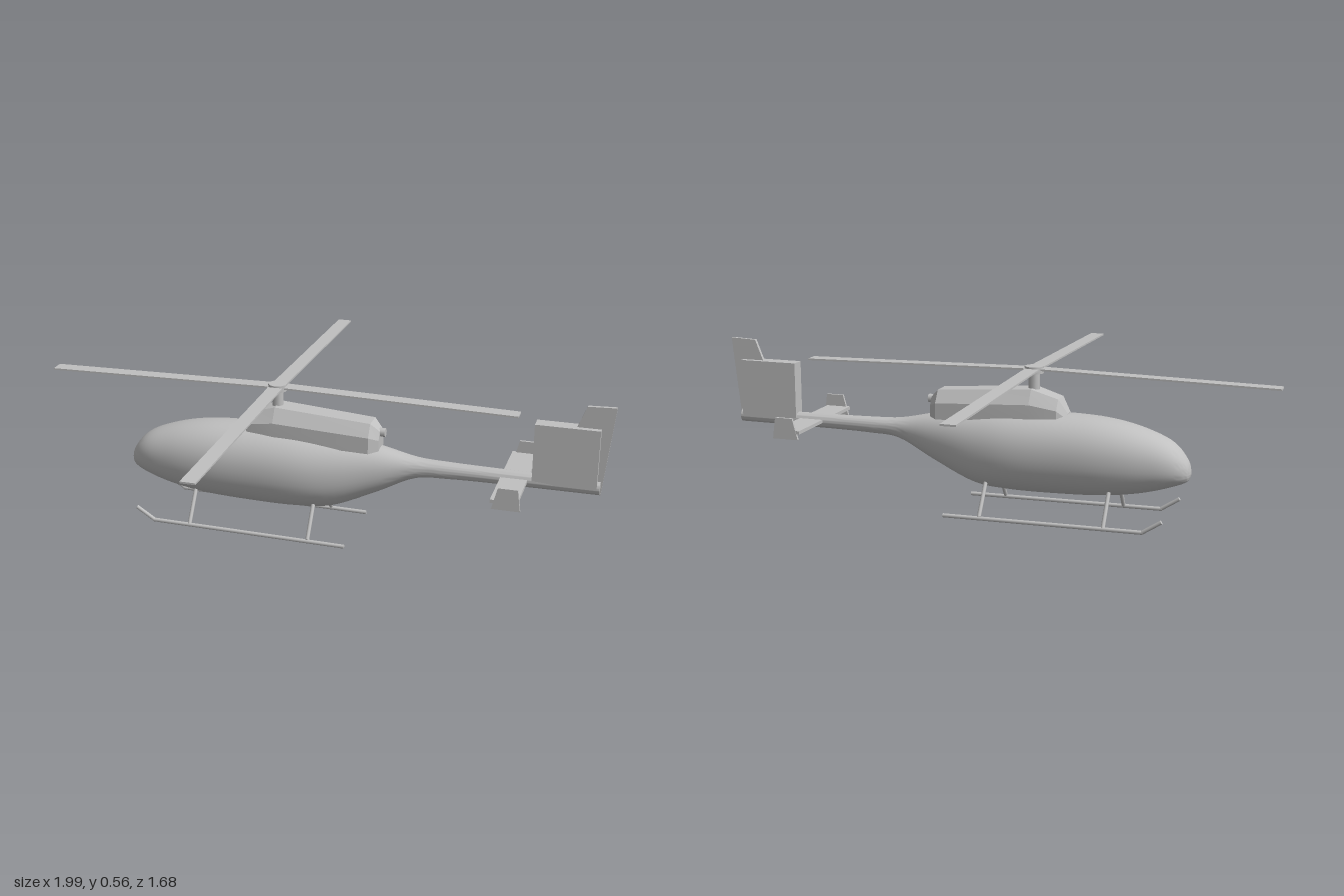
import * as THREE from 'three';
import { toCreasedNormals } from 'three/addons/utils/BufferGeometryUtils.js';

const grey = new THREE.MeshStandardMaterial({ color: 0xc0c0c0 });
grey.name = 'light grey';

// Skin a ring of unit [z, y] points through stations [x, bottom, top, halfWidth].
function loft(stations, ring, crease) {
  const n = ring.length, pos = [], idx = [];
  const s0 = stations[0], s1 = stations[stations.length - 1];
  const tip = (s) => [s[0], (s[1] + s[2]) / 2, (s[1] + s[2]) / 2, 0];
  const rows = [tip(s0), ...stations, tip(s1)];
  for (const [x, b, t, w] of rows)
    for (const [z, y] of ring) pos.push(x, (b + t) / 2 + y * (t - b) / 2, z * w);
  for (let i = 0; i < rows.length - 1; i++)
    for (let j = 0; j < n; j++) {
      const a = i * n + j, b = i * n + (j + 1) % n, c = a + n, d = b + n;
      if (i > 0) idx.push(a, c, b);
      else idx.push(a, c, d);
      if (i > 0 && i < rows.length - 2) idx.push(b, c, d);
    }
  const g = new THREE.BufferGeometry();
  g.setAttribute('position', new THREE.Float32BufferAttribute(pos, 3));
  g.setIndex(idx);
  return toCreasedNormals(g, crease);
}

// Smooth stations with splines through (x, bottom, top) and (x, width).
function smoothStations(st, count) {
  const a = new THREE.CatmullRomCurve3(st.map((s) => new THREE.Vector3(s[0], s[1], s[2])));
  const b = new THREE.CatmullRomCurve3(st.map((s) => new THREE.Vector3(s[0], s[3], 0)));
  return Array.from({ length: count + 1 }, (_, i) => {
    const p = a.getPoint(i / count), q = b.getPoint(i / count);
    return [p.x, p.y, p.z, q.y];
  });
}

// Flat plate cut from an outline in the x-y plane, centred on z.
function plate(points, thickness) {
  const shape = new THREE.Shape(points.map(([x, y]) => new THREE.Vector2(x, y)));
  return new THREE.ExtrudeGeometry(shape, { depth: thickness, bevelEnabled: false })
    .translate(0, 0, -thickness / 2);
}

export function createModel() {
  const model = new THREE.Group();
  model.name = 'helicopter';
  const add = (name, geometry, parent = model) => {
    const m = new THREE.Mesh(geometry, grey);
    m.name = name;
    parent.add(m);
    return m;
  };
  const rod = (name, from, to, r, parent) => {
    const a = new THREE.Vector3(...from), b = new THREE.Vector3(...to);
    const m = add(name, new THREE.CylinderGeometry(r, r, a.distanceTo(b), 10), parent);
    m.position.copy(a).add(b).multiplyScalar(0.5);
    m.quaternion.setFromUnitVectors(new THREE.Vector3(0, 1, 0), b.sub(a).normalize());
    return m;
  };

  // Fuselage and tail boom in one smooth skin
  const oval = Array.from({ length: 40 }, (_, i) => {
    const a = (i / 40) * Math.PI * 2, c = Math.cos(a), s = Math.sin(a);
    return [Math.sign(c) * Math.abs(c) ** 0.92, Math.sign(s) * Math.abs(s) ** 0.92];
  });
  add('fuselage', loft(smoothStations([
    [-0.71, 0.185, 0.2, 0.008], [-0.7, 0.165, 0.232, 0.034], [-0.65, 0.143, 0.29, 0.075],
    [-0.55, 0.115, 0.333, 0.107], [-0.42, 0.096, 0.36, 0.127], [-0.25, 0.088, 0.368, 0.132],
    [-0.08, 0.088, 0.365, 0.129], [0.04, 0.1, 0.355, 0.111], [0.2, 0.168, 0.335, 0.071],
    [0.34, 0.236, 0.307, 0.037], [0.45, 0.245, 0.302, 0.03], [0.7, 0.249, 0.299, 0.026],
    [0.96, 0.25, 0.298, 0.024],
  ], 60), oval, 0.7));

  // Faceted engine cowling with exhaust
  const hood = [[1, -1], [1, 0.15], [0.55, 1], [-0.55, 1], [-1, 0.15], [-1, -1]];
  add('engineCowling', loft([
    [-0.285, 0.33, 0.37, 0.03], [-0.255, 0.335, 0.42, 0.058], [-0.16, 0.335, 0.449, 0.068],
    [0.18, 0.325, 0.425, 0.062], [0.21, 0.328, 0.395, 0.034],
  ], hood, 0.2));
  rod('exhaust', [0.17, 0.386, 0], [0.226, 0.386, 0], 0.015);

  // Main rotor: mast, hub and four drooping blades
  const rotor = new THREE.Group();
  rotor.name = 'mainRotor';
  rotor.position.set(-0.16, 0, 0);
  model.add(rotor);
  rod('mast', [0, 0.42, 0], [0, 0.51, 0], 0.019, rotor);
  rod('hub', [0, 0.5, 0], [0, 0.524, 0], 0.033, rotor);
  for (let i = 0; i < 4; i++) {
    const arm = new THREE.Group();
    arm.name = 'bladeArm';
    arm.rotation.y = i * Math.PI / 2;
    rotor.add(arm);
    const blade = add('blade', new THREE.BoxGeometry(0.81, 0.006, 0.05), arm);
    blade.position.set(0.435, 0.508, 0);
    blade.rotation.z = -0.018;
  }

  // Tail block and swept fin
  add('tailBlock', new THREE.BoxGeometry(0.215, 0.21, 0.05)).position.set(0.8425, 0.377, 0);
  add('tailFin', plate([[0.87, 0.4], [0.87, 0.48], [0.9, 0.556], [0.995, 0.56],
    [0.962, 0.25], [0.93, 0.26]], 0.012));

  // Horizontal stabilizer with end plates
  add('stabilizer', new THREE.BoxGeometry(0.09, 0.012, 0.43)).position.set(0.675, 0.276, 0);
  for (const side of [-1, 1])
    add('stabilizerEndPlate', plate([[0.635, 0.25], [0.73, 0.25], [0.72, 0.325], [0.655, 0.325]], 0.009))
      .position.z = side * 0.212;

  // Landing skids
  for (const side of [-1, 1]) {
    const skid = new THREE.Group();
    skid.name = side > 0 ? 'leftSideSkid' : 'rightSideSkid';
    model.add(skid);
    const z = side * 0.147;
    rod('skidTube', [-0.585, 0.016, z], [0.122, 0.008, z], 0.007, skid);
    rod('skidTip', [-0.645, 0.058, z], [-0.58, 0.016, z], 0.007, skid);
    for (const x of [-0.447, -0.01])
      rod('skidStrut', [x, 0.015, z], [x, 0.14, side * 0.062], 0.007, skid);
  }
  return model;
}
